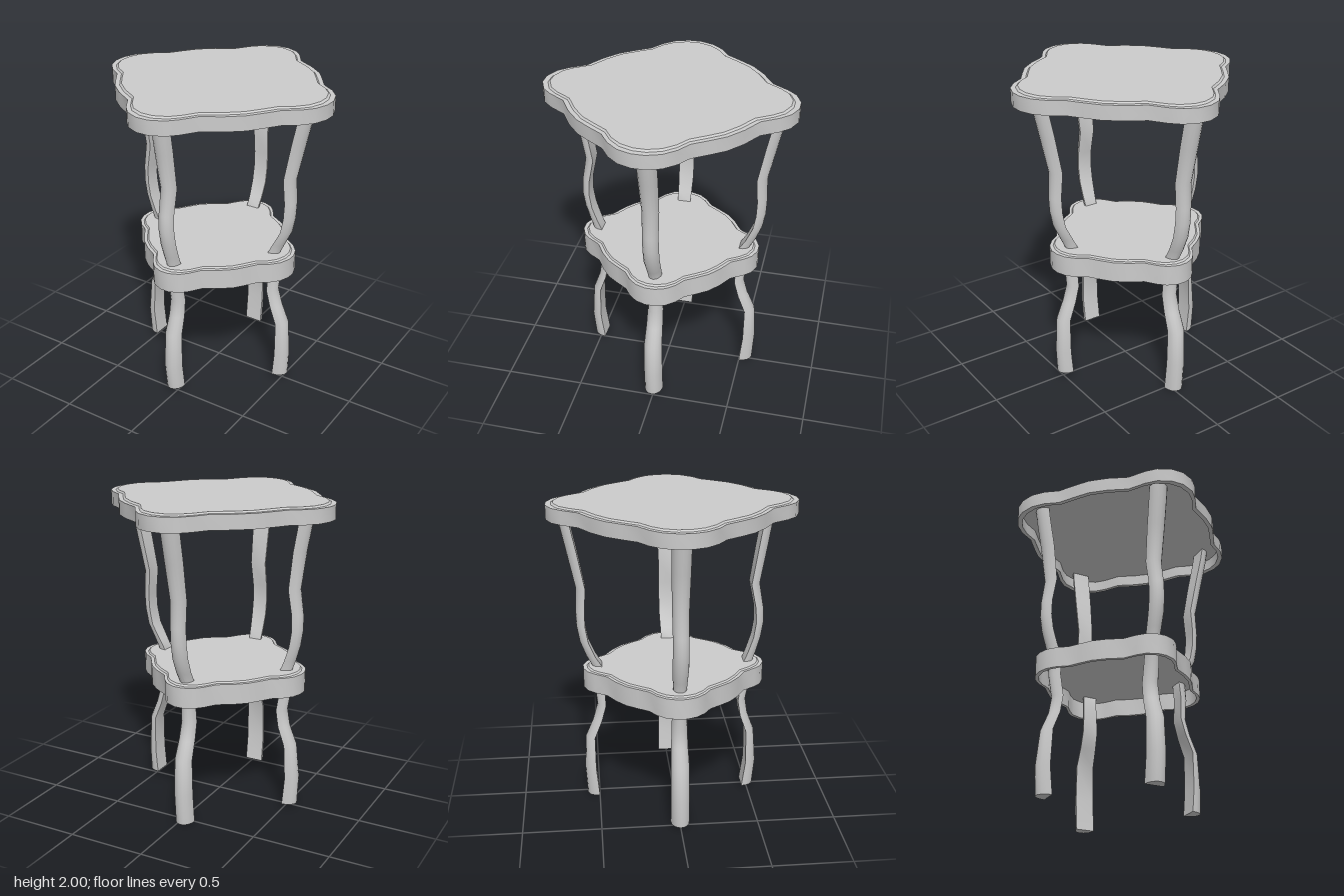
import * as THREE from 'three';
import { toCreasedNormals } from 'three/addons/utils/BufferGeometryUtils.js';

const material = new THREE.MeshStandardMaterial({ color: 0xcccccc });

// Skins a list of equal-length closed rings, ordered from top to bottom
function loft(rings, crease) {
  const n = rings[0].length;
  const index = [];
  for (let i = 0; i < rings.length - 1; i++) {
    for (let j = 0; j < n; j++) {
      const k = (j + 1) % n;
      const a = i * n + j, b = i * n + k, c = a + n, d = b + n;
      index.push(a, b, c, b, d, c);
    }
  }
  const geometry = new THREE.BufferGeometry();
  geometry.setAttribute('position', new THREE.Float32BufferAttribute(rings.flat(2), 3));
  geometry.setIndex(index);
  return toCreasedNormals(geometry, crease);
}

// Scalloped outline: one quarter from the +x tip to the +z tip, then mirrored
const quarter = [
  [0.75, 0.04], [0.72, 0.125], [0.66, 0.195], [0.58, 0.25], [0.52, 0.34], [0.455, 0.43],
  [0.36, 0.51], [0.245, 0.58], [0.18, 0.68], [0.125, 0.738], [0.04, 0.775],
];
const half = [...quarter, ...quarter.map(([x, z]) => [-x, z]).reverse()];
const outline = [...half, ...half.map(([x, z]) => [x, -z]).reverse()];

// Shelf: raised panel, bevel, rim, and a hollow underside
function makeShelf(name, scale, centreX, bottom, top) {
  const profile = [
    [0, top], [0.938, top], [0.956, top - 0.01], [1, top - 0.01],
    [1, bottom], [0.956, bottom], [0.956, top - 0.025], [0, top - 0.025],
  ];
  const rings = profile.map(([s, y]) =>
    outline.map(([x, z]) => [centreX + x * s * scale, y, z * s * scale]));
  const mesh = new THREE.Mesh(loft(rings, 0.6), material);
  mesh.name = name;
  return mesh;
}

// Shared leg stations: height, thickness, half width
const stations = [
  [1.98, 0.065, 0.06], [1.9, 0.065, 0.06], [1.7, 0.065, 0.058], [1.46, 0.06, 0.052],
  [1.3, 0.055, 0.05], [1.2, 0.055, 0.05], [1.1, 0.055, 0.05], [1.0, 0.06, 0.046],
  [0.93, 0.065, 0.043], [0.8, 0.06, 0.046], [0.66, 0.055, 0.05], [0.55, 0.055, 0.053],
  [0.43, 0.058, 0.058], [0.2, 0.072, 0.06], [0, 0.08, 0.06],
];

// Each leg: direction, foot height, sideways shift, distance out at every station
const legs = [
  { name: 'leftLeg', angle: 0, foot: 0.04, shift: 0,
    out: [0.63, 0.617, 0.572, 0.52, 0.53, 0.525, 0.505, 0.455, 0.42, 0.43, 0.42, 0.45, 0.498, 0.505, 0.495] },
  { name: 'frontLeg', angle: Math.PI / 2, foot: 0.025, shift: 0.03,
    out: [0.605, 0.593, 0.56, 0.52, 0.55, 0.555, 0.54, 0.51, 0.485, 0.475, 0.45, 0.467, 0.51, 0.52, 0.5] },
  { name: 'rightLeg', angle: Math.PI, foot: 0.02, shift: 0,
    out: [0.605, 0.594, 0.558, 0.527, 0.55, 0.552, 0.537, 0.507, 0.48, 0.48, 0.457, 0.475, 0.522, 0.54, 0.527] },
  { name: 'backLeg', angle: -Math.PI / 2, foot: 0, shift: -0.025,
    out: [0.685, 0.672, 0.63, 0.582, 0.59, 0.587, 0.57, 0.53, 0.49, 0.48, 0.47, 0.5, 0.55, 0.555, 0.54] },
];

// Leg: D-shaped section, rounded outside and flat inside, swept down the bends
function makeLeg({ name, angle, foot, shift, out }) {
  const cos = Math.cos(angle), sin = Math.sin(angle);
  const place = (r, t, y) => [r * cos - t * sin, y, r * sin + t * cos];
  const rings = stations.map(([height, thick, width], i) => {
    const ring = [];
    for (let k = 0; k <= 8; k++) {
      const a = (k / 8 - 0.5) * Math.PI;
      ring.push(place(out[i] + thick * (Math.cos(a) - 0.5), shift + width * Math.sin(a), height || foot));
    }
    return ring;
  });
  // Close both ends
  const cap = (i, y) => rings[0].map(() => place(out[i], shift, y));
  const last = stations.length - 1;
  const geometry = loft([cap(0, stations[0][0]), ...rings, cap(last, foot)], 0.6);
  const mesh = new THREE.Mesh(geometry, material);
  mesh.name = name;
  return mesh;
}

export function createModel() {
  const group = new THREE.Group();
  group.name = 'sideTable';
  group.add(makeShelf('tableTop', 1, 0, 1.9, 2));
  group.add(makeShelf('lowerShelf', 0.75, -0.025, 0.795, 0.935));
  legs.forEach((leg) => group.add(makeLeg(leg)));
  return group;
}
